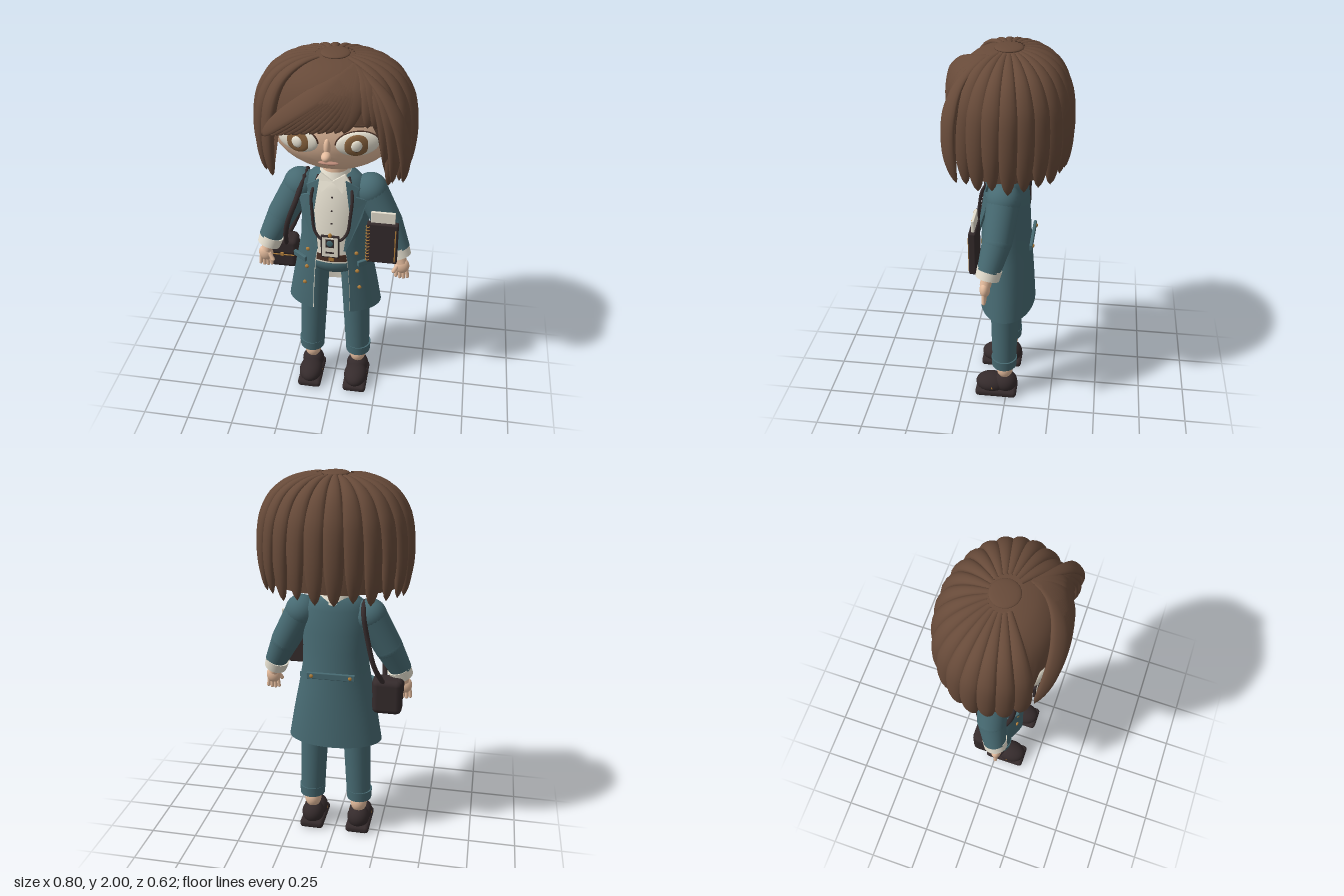
import * as THREE from 'three';
import { mergeVertices } from 'three/addons/utils/BufferGeometryUtils.js';
import { RoundedBoxGeometry } from 'three/addons/geometries/RoundedBoxGeometry.js';

const V = (x, y, z) => new THREE.Vector3(x, y, z);
const paint = (name, color, side = THREE.FrontSide) => Object.assign(new THREE.MeshStandardMaterial({ color, side }), { name });

// Smooth surface over a (u, v) grid; fn returns a Vector3
function surface(fn, nu, nv, flip = false) {
  const pos = [], index = [];
  for (let i = 0; i <= nu; i++) for (let j = 0; j <= nv; j++) pos.push(...fn(i / nu, j / nv).toArray());
  for (let i = 0; i < nu; i++) for (let j = 0; j < nv; j++) {
    const a = i * (nv + 1) + j, b = a + nv + 1, c = b + 1, d = a + 1;
    index.push(...(flip ? [a, d, b, b, d, c] : [a, b, d, b, c, d]));
  }
  let g = new THREE.BufferGeometry();
  g.setAttribute('position', new THREE.Float32BufferAttribute(pos, 3));
  g.setIndex(index);
  g = mergeVertices(g, 1e-5);
  g.computeVertexNormals();
  return g;
}

// Hair dome: angle a runs from the front, t from crown to tips
const dome = new THREE.SplineCurve([[0, 1.978], [0.27, 1.978], [0.57, 1.95], [0.81, 1.885], [0.95, 1.775], [1, 1.63], [0.99, 1.51], [0.955, 1.405]]
  .map(p => new THREE.Vector2(...p)));
function hairPoint(a, t, k = 1) {
  const p = dome.getPoint(t);
  return V(0.37 * p.x * k * Math.sin(a), p.y, 0.293 * p.x * k * Math.cos(a));
}

// Flattened tapering lock of hair along a path
function lock(points, width, depth) {
  const curve = new THREE.CatmullRomCurve3(points);
  return surface((u, v) => {
    const p = curve.getPoint(u), T = curve.getTangent(u);
    const O = p.clone().sub(V(0, 1.62, 0));
    O.addScaledVector(T, -O.dot(T)).normalize();
    const S = T.clone().cross(O), f = v * Math.PI * 2;
    const taper = Math.min(1, 0.25 + u * 1.5) * Math.pow(Math.max(0, 1 - Math.pow(u, 6)), 0.65);
    return p.addScaledVector(S, Math.cos(f) * width * taper).addScaledVector(O, Math.sin(f) * depth * taper);
  }, 26, 14);
}

// Coat sections: height, half width, half depth, centre z, half opening
const coatRows = [
  [1.38, 0.078, 0.065, 0, 0.06], [1.365, 0.12, 0.078, 0.002, 0.07], [1.32, 0.165, 0.1, 0.006, 0.08], [1.2, 0.172, 0.118, 0.012, 0.09],
  [1.1, 0.172, 0.126, 0.015, 0.08], [1.0, 0.176, 0.132, 0.015, 0.07], [0.9, 0.193, 0.136, 0.013, 0.085], [0.75, 0.222, 0.142, 0.009, 0.095], [0.585, 0.25, 0.147, 0.005, 0.1]];
const body = (rows, k, open, flip) => surface((u, v) => {
  const [y, rx, rz, zc, gap] = rows[Math.round(u * (rows.length - 1))];
  const g = open ? Math.asin(Math.min(0.95, gap / rx)) : 0;
  const a = g + v * 2 * (Math.PI - g);
  return V(rx * k * Math.sin(a), y, zc + rz * k * Math.cos(a));
}, rows.length - 1, 48, flip);
function coatZ(x, y) {
  const i = Math.max(1, coatRows.findIndex(r => r[0] <= y));
  const A = coatRows[i - 1], B = coatRows[i], m = (A[0] - y) / (A[0] - B[0]);
  const [rx, rz, zc] = [1, 2, 3].map(n => A[n] + (B[n] - A[n]) * m);
  return zc + rz * Math.sqrt(Math.max(0, 1 - (x / rx) ** 2));
}

export function createModel() {
  const root = new THREE.Group();
  root.name = 'figure';
  const hair = paint('hair brown', 0x674a39, THREE.DoubleSide), skin = paint('skin', 0xe6bd9e), teal = paint('teal cloth', 0x476a72, THREE.DoubleSide);
  const cream = paint('cream', 0xe6e0d0, THREE.DoubleSide), dark = paint('dark leather', 0x352b2c), gold = paint('brass', 0xb5813c);
  const iris = paint('iris brown', 0x85603c), lip = paint('lip', 0xbb8a78), belt = paint('belt brown', 0x4c3227);

  const add = (name, geo, mat, p = [0, 0, 0], s = [1, 1, 1], r = [0, 0, 0]) => {
    const m = new THREE.Mesh(geo, mat);
    m.name = name;
    m.position.set(...p); m.scale.set(...s); m.rotation.set(...r);
    root.add(m);
    return m;
  };
  const ball = new THREE.SphereGeometry(1, 28, 20);
  const box = (name, mat, p, size, r, rad = 0.004) => add(name, new RoundedBoxGeometry(...size, 2, rad), mat, p, [1, 1, 1], r);
  const tube = (name, mat, pts, r) => add(name, new THREE.TubeGeometry(new THREE.CatmullRomCurve3(pts.map(p => V(...p))), 30, r, 8), mat);
  const limb = (name, mat, a, b, ra, rb) => {
    const A = V(...a), B = V(...b), d = A.clone().sub(B);
    const m = add(name, new THREE.CylinderGeometry(ra, rb, d.length(), 24), mat, A.clone().add(B).multiplyScalar(0.5).toArray());
    m.quaternion.setFromUnitVectors(V(0, 1, 0), d.normalize());
  };

  // Head and face
  add('head', new THREE.SphereGeometry(1, 40, 28), skin, [0, 1.68, -0.005], [0.325, 0.265, 0.25]);
  add('nose', ball, skin, [0, 1.6, 0.268], [0.023, 0.022, 0.03]);
  add('noseBridge', ball, skin, [0, 1.635, 0.24], [0.016, 0.045, 0.02]);
  add('mouth', ball, lip, [0, 1.535, 0.21], [0.048, 0.008, 0.014]);
  add('neck', new THREE.CylinderGeometry(0.06, 0.065, 0.13, 24), skin, [0, 1.395, 0]);

  // Hair: dome, crown, hanging locks
  add('hairCap', surface((u, v) => {
    const a = (v * 2 - 1) * Math.PI;
    return hairPoint(a, u * (0.59 + 0.32 * THREE.MathUtils.smoothstep(Math.abs(a), 0.62, 0.88)), 0.95);
  }, 26, 72), hair);
  add('crown', ball, hair, [0, 1.984, 0], [0.068, 0.013, 0.068]);
  const path = f => Array.from({ length: 10 }, (_, i) => f(i / 9));
  for (let i = 0; i < 18; i++) {
    const a = Math.PI + (i - 8.5) * 0.262, end = 0.98 + 0.02 * Math.sin(i * 2.4);
    add('hairLock', lock(path(u => hairPoint(a, 0.13 + u * (end - 0.13), 0.98)), 0.046 + 0.005 * Math.abs(Math.cos(a)), 0.031), hair);
  }
  // Swept fringe to one side of the parting, flaring locks on the other
  for (let i = 0; i < 11; i++) {
    const t = i / 10, end = 0.22 - 1.02 * t, stop = 0.615 + 0.065 * t * t;
    add('fringeLock', lock(path(u => hairPoint(0.75 + (end - 0.75) * Math.pow(u, 0.75), 0.2 + (stop - 0.2) * u, 1 + (0.02 + 0.13 * t * t) * u)), 0.05, 0.018), hair);
  }
  for (let i = 0; i < 5; i++) {
    const t = i / 4, end = 0.52 + 0.42 * t, stop = 0.6 + 0.32 * THREE.MathUtils.smoothstep(t, 0.2, 0.75);
    add('sideFringe', lock(path(u => hairPoint(0.7 + (end - 0.7) * u, 0.2 + (stop - 0.2) * u, 1 + (0.02 + 0.21 * t * t) * Math.sin(u * 2.2))), 0.04, 0.019), hair);
  }

  // Coat with lining, shirt, belt and trouser seat
  add('coat', body(coatRows, 1, true), teal);
  add('coatLining', body(coatRows.slice(2), 0.97, true, true), cream);
  add('shirt', body(coatRows.slice(0, 7), 0.93, false), cream);
  add('shirtCollar', new THREE.CylinderGeometry(0.068, 0.085, 0.05, 28, 1, true), cream, [0, 1.375, 0.002]);
  add('belt', new THREE.CylinderGeometry(1, 1, 0.04, 36), belt, [0, 0.932, 0.014], [0.172, 1, 0.13]);
  box('beltBuckle', gold, [0, 0.932, 0.144], [0.03, 0.03, 0.008]);
  add('trouserSeat', ball, teal, [0, 0.88, 0.01], [0.165, 0.1, 0.122]);
  for (const y of [1.28, 1.21, 1.14]) add('shirtButton', ball, dark, [0, y, coatZ(0, y) - 0.007], [0.005, 0.005, 0.004]);

  for (const s of [-1, 1]) {
    // Eyes, brows and ears
    const turn = [0, s * 0.3, 0];
    add('eyeWhite', ball, cream, [s * 0.135, 1.655, 0.222], [0.1, 0.06, 0.028], turn);
    add('iris', ball, iris, [s * 0.134, 1.655, 0.24], [0.06, 0.052, 0.015], turn);
    add('pupil', ball, dark, [s * 0.135, 1.655, 0.247], [0.029, 0.031, 0.012], turn);
    add('eyeShine', ball, cream, [s * 0.135, 1.657, 0.251], [0.026, 0.028, 0.012], turn);
    add('upperLash', new THREE.TorusGeometry(1, 0.035, 8, 30, Math.PI), belt, [s * 0.135, 1.657, 0.226], [0.1, 0.062, 0.12], turn);
    add('eyebrow', ball, hair, [s * 0.14, 1.75, 0.222], [0.075, 0.011, 0.014], [0, s * 0.35, -s * 0.1]);
    add('ear', ball, skin, [s * 0.335, 1.61, 0.02], [0.045, 0.065, 0.03]);

    // Collar point and lapel, laid along the chest
    const flat = (name, mat, pts, z0, slope) => {
      const g = new THREE.ExtrudeGeometry(new THREE.Shape(pts.map(([x, y]) => new THREE.Vector2(s * x, y))), { depth: 0.01, bevelEnabled: false });
      const p = g.attributes.position;
      for (let i = 0; i < p.count; i++) p.setZ(i, p.getZ(i) + z0 + (1.37 - p.getY(i)) * slope - 1.4 * p.getX(i) ** 2);
      g.computeVertexNormals();
      add(name, g, mat);
    };
    flat('collarPoint', cream, [[0, 1.365], [0.06, 1.4], [0.085, 1.36], [0.05, 1.31]], 0.085, 0.35);
    flat('lapel', teal, [[0.065, 1.375], [0.13, 1.335], [0.115, 1.29], [0.17, 1.265], [0.15, 1.18], [0.078, 1.0], [0.066, 1.0], [0.09, 1.2]], 0.1, 0.16);

    // Coat buttons and pocket flaps
    for (const [x, y] of [[0.125, 0.96], [0.132, 0.85], [0.145, 0.745]]) add('coatButton', ball, gold, [s * x, y, coatZ(x, y) + 0.003], [0.011, 0.011, 0.007]);
    box('pocketFlap', teal, [s * 0.17, 0.898, coatZ(0.165, 0.898) + 0.012], [0.09, 0.03, 0.018], [0, s * 0.65, 0]);
    add('backButton', ball, gold, [s * 0.1, 0.985, -0.135], [0.01, 0.01, 0.006]);

    // Sleeve, cuff and hand
    const shoulder = [s * 0.178, 1.285, 0.005], elbow = [s * 0.272, 1.11, 0.025], wrist = [s * 0.336, 0.975, 0.06];
    add('shoulder', ball, teal, shoulder, [0.084, 0.084, 0.084]);
    limb('upperSleeve', teal, shoulder, elbow, 0.082, 0.074);
    add('elbow', ball, teal, elbow, [0.074, 0.074, 0.074]);
    limb('lowerSleeve', teal, elbow, wrist, 0.074, 0.058);
    limb('cuff', cream, [s * 0.325, 0.985, 0.056], [s * 0.342, 0.937, 0.067], 0.063, 0.06);
    limb('wrist', skin, [s * 0.34, 0.95, 0.066], [s * 0.355, 0.9, 0.075], 0.03, 0.028);
    add('palm', ball, skin, [s * 0.358, 0.882, 0.077], [0.038, 0.045, 0.026]);
    for (let i = 0; i < 4; i++)
      add('finger', new THREE.CapsuleGeometry(0.0095, 0.045, 4, 10), skin, [s * (0.332 + i * 0.018), 0.83 + Math.abs(i - 1.5) * 0.006, 0.08], [1, 1, 1], [0, 0, s * (i - 1.5) * 0.08]);
    add('thumb', new THREE.CapsuleGeometry(0.011, 0.035, 4, 10), skin, [s * 0.326, 0.872, 0.095], [1, 1, 1], [-0.3, 0, -s * 0.5]);

    // Trouser leg, ankle and shoe
    limb('trouserLeg', teal, [s * 0.105, 0.88, 0.012], [s * 0.13, 0.22, 0.012], 0.08, 0.066);
    add('trouserCuff', new THREE.CylinderGeometry(0.071, 0.068, 0.055, 28), teal, [s * 0.132, 0.237, 0.012]);
    add('ankle', ball, skin, [s * 0.13, 0.175, 0.01], [0.046, 0.06, 0.046]);
    box('sole', dark, [s * 0.13, 0.025, 0.057], [0.132, 0.046, 0.232], [0, 0, 0], 0.02);
    add('shoeToe', ball, dark, [s * 0.13, 0.068, 0.085], [0.066, 0.055, 0.088]);
    add('shoeHeel', ball, dark, [s * 0.13, 0.08, 0.005], [0.062, 0.063, 0.065]);
    add('shoeTrim', new THREE.TorusGeometry(0.062, 0.004, 6, 28, Math.PI), gold, [s * 0.13, 0.062, 0.075], [1.02, 0.9, 1], [0.25, 0, 0]);

    // Lanyard
    tube('lanyard', dark, [[s * 0.075, 1.37, 0.05], [s * 0.1, 1.3, 0.116], [s * 0.095, 1.2, 0.138], [s * 0.08, 1.1, 0.15], [s * 0.045, 1.065, 0.164], [s * 0.02, 1.08, 0.17]], 0.008);
  }
  box('backTab', teal, [0, 0.985, -0.125], [0.25, 0.034, 0.016]);

  // Name badge
  box('badgeFrame', dark, [0, 1.032, 0.174], [0.094, 0.132, 0.014]);
  box('badgeCard', cream, [0, 1.032, 0.181], [0.08, 0.116, 0.006], [0, 0, 0], 0.002);
  box('badgePhoto', dark, [0, 1.057, 0.184], [0.044, 0.05, 0.004], [0, 0, 0], 0.001);
  add('badgePortrait', ball, teal, [0, 1.057, 0.185], [0.017, 0.019, 0.004]);
  box('badgeBar', dark, [0, 1.0, 0.184], [0.042, 0.01, 0.004], [0, 0, 0], 0.001);
  add('badgeClip', ball, gold, [0, 1.1, 0.177], [0.01, 0.014, 0.008]);

  // Notebook under the arm
  box('notebook', dark, [0.257, 1.063, 0.14], [0.155, 0.235, 0.036], [0, 0, 0], 0.008);
  box('looseSheets', cream, [0.257, 1.14, 0.137], [0.12, 0.2, 0.014], [0, 0, 0], 0.003);
  box('notebookBand', gold, [0.322, 1.055, 0.158], [0.006, 0.19, 0.006], [0, 0, 0], 0.001);
  for (let i = 0; i < 11; i++) add('binderRing', new THREE.TorusGeometry(0.009, 0.0025, 6, 12), gold, [0.185, 0.963 + i * 0.02, 0.156], [1, 1, 1], [Math.PI / 2, 0, 0]);

  // Shoulder bag
  box('bag', dark, [-0.278, 0.855, -0.01], [0.155, 0.19, 0.1], [0, 0, 0], 0.03);
  box('bagFlap', dark, [-0.278, 0.9, 0.002], [0.162, 0.1, 0.1], [0, 0, 0], 0.025);
  box('bagTrim', gold, [-0.278, 0.858, 0.052], [0.13, 0.006, 0.005], [0, 0, 0], 0.002);
  box('bagClasp', gold, [-0.278, 0.862, 0.054], [0.018, 0.022, 0.008], [0, 0, 0], 0.003);
  tube('bagStrap', dark, [[-0.255, 0.93, 0.04], [-0.245, 1.02, 0.09], [-0.225, 1.12, 0.115], [-0.18, 1.25, 0.11], [-0.15, 1.35, 0.03],
    [-0.155, 1.32, -0.075], [-0.18, 1.18, -0.085], [-0.215, 1.03, -0.075], [-0.26, 0.93, -0.04]], 0.013);
  return root;
}
